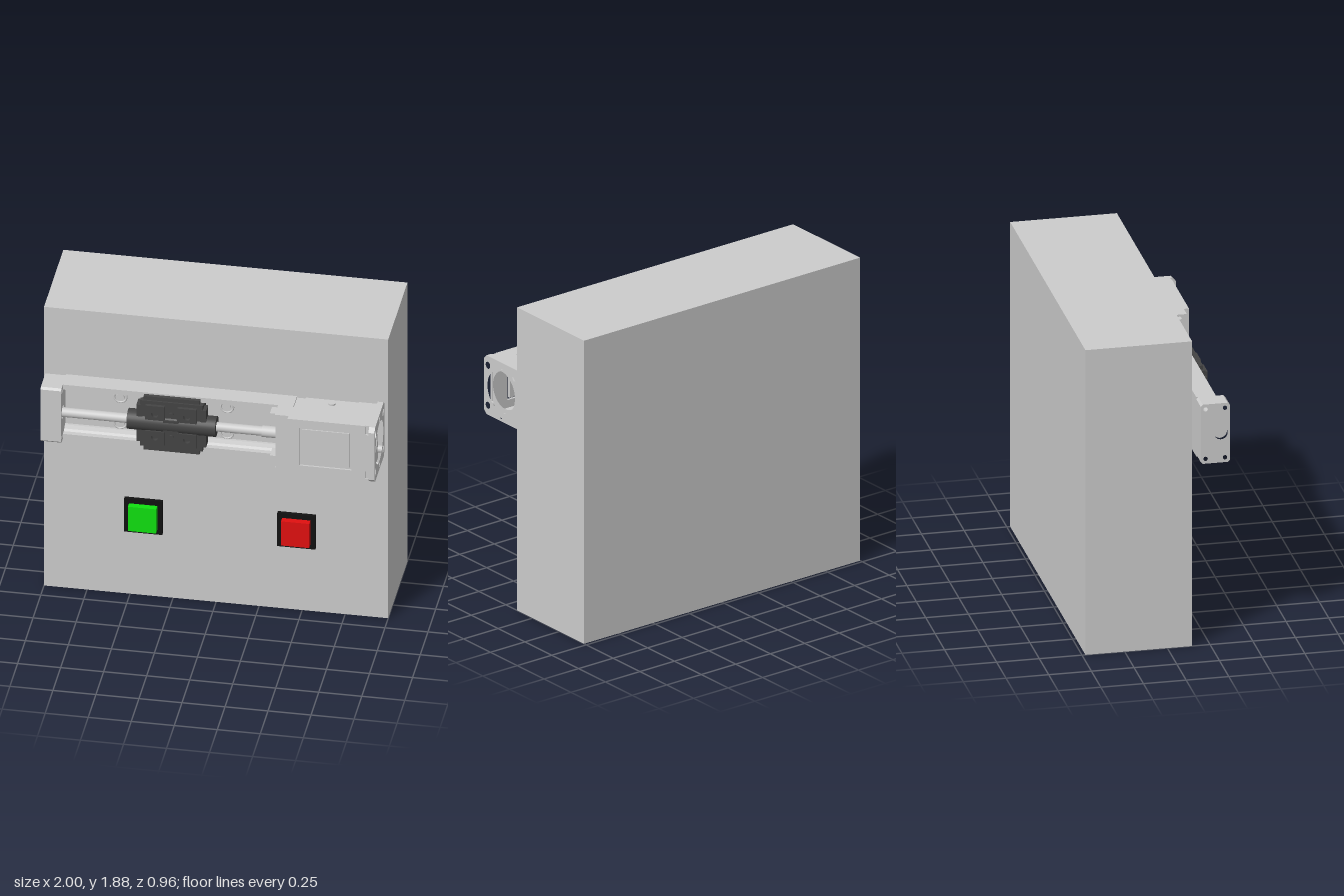
import * as THREE from 'three';

const grey = new THREE.MeshStandardMaterial({ color: 0xcccccc });
const dark = new THREE.MeshStandardMaterial({ color: 0x444444 });
const black = new THREE.MeshStandardMaterial({ color: 0x111111 });
const green = new THREE.MeshStandardMaterial({ color: 0x10e010 });
const red = new THREE.MeshStandardMaterial({ color: 0xe01010 });

const AXIS_Y = 1.293, AXIS_Z = 0.318; // lead screw axis
const LOW = 1.11, HIGH = 1.475;       // actuator bottom and top

function add(parent, name, geometry, material = grey) {
  const mesh = new THREE.Mesh(geometry, material);
  mesh.name = name;
  parent.add(mesh);
  return mesh;
}

// Box from its limits on each axis
function box(parent, name, [x0, x1], [y0, y1], [z0, z1], material) {
  const g = new THREE.BoxGeometry(x1 - x0, y1 - y0, z1 - z0);
  g.translate((x0 + x1) / 2, (y0 + y1) / 2, (z0 + z1) / 2);
  return add(parent, name, g, material);
}

function polygon(points) {
  return new THREE.Shape(points.map(p => new THREE.Vector2(...p)));
}

function extrude(shape, depth) {
  return new THREE.ExtrudeGeometry(shape, { depth, bevelEnabled: false, curveSegments: 20 });
}

// Section of [z, y] points swept along x; holes are [z, y, radius]
function alongX(points, x0, x1, holes = []) {
  const shape = polygon(points.map(([z, y]) => [-z, y]));
  for (const [z, y, r] of holes) shape.holes.push(new THREE.Path().absarc(-z, y, r, 0, Math.PI * 2, true));
  return extrude(shape, x1 - x0).rotateY(Math.PI / 2).translate(x0, 0, 0);
}

// Plate of [x, y] points facing the front
function plate(shape, z0, z1) {
  return extrude(shape, z1 - z0).translate(0, 0, z0);
}

function chamfered(z0, z1, y0, y1, c) {
  return [[z0 + c, y0], [z1 - c, y0], [z1, y0 + c], [z1, y1 - c], [z1 - c, y1], [z0 + c, y1], [z0, y1 - c], [z0, y0 + c]];
}

function rodX(parent, name, x0, x1, r, material = grey, sides = 32) {
  const g = new THREE.CylinderGeometry(r, r, x1 - x0, sides).rotateZ(Math.PI / 2);
  return add(parent, name, g.translate((x0 + x1) / 2, AXIS_Y, AXIS_Z), material);
}

function rodZ(parent, name, x, y, z0, z1, r, material = grey) {
  const g = new THREE.CylinderGeometry(r, r, z1 - z0, 24).rotateX(Math.PI / 2);
  return add(parent, name, g.translate(x, y, (z0 + z1) / 2), material);
}

function rectPath(x0, x1, y0, y1) {
  return new THREE.Path([[x0, y0], [x0, y1], [x1, y1], [x1, y0]].map(p => new THREE.Vector2(...p)));
}

function buildRail() {
  const g = new THREE.Group();
  g.name = 'rail';
  // Half of the stepped channel section, mirrored about the screw axis
  const half = [[0.2, HIGH], [0.315, HIGH], [0.315, 1.442], [0.285, 1.442], [0.275, 1.43],
    [0.262, 1.442], [0.25, 1.418], [0.235, 1.418], [0.235, 1.335], [0.222, 1.335]];
  const lower = half.map(([z, y]) => [z, LOW + HIGH - y]).reverse();
  add(g, 'channel', alongX([...half, ...lower], -0.86, 0.4));
  // Counterbored mounting screws with studs to the cabinet
  for (const x of [-0.54, 0.08]) for (const y of [1.205, 1.38]) {
    add(g, 'screwSeat', new THREE.TorusGeometry(0.036, 0.006, 8, 28).translate(x, y, 0.235));
    rodZ(g, 'screwHead', x, y, 0.23, 0.246, 0.024);
    rodZ(g, 'mountingStud', x, y, 0.14, 0.21, 0.018);
    if (x > 0) rodZ(g, 'washer', x, y, 0.172, 0.2, 0.044);
  }
  rodX(g, 'leadScrew', -0.87, 0.41, 0.028);
  rodX(g, 'screwCollar', 0.3, 0.4, 0.034);
  for (const [y0, y1] of [[1.125, 1.175], [1.41, 1.46]]) box(g, 'endStop', [0.355, 0.4], [y0, y1], [0.3, 0.385]);
  return g;
}

function buildEndBlock() {
  const g = new THREE.Group();
  g.name = 'endBlock';
  const holes = [[AXIS_Z, AXIS_Y, 0.04]];
  for (const z of [0.228, 0.342]) for (const y of [1.14, 1.445]) holes.push([z, y, 0.013]);
  add(g, 'bearingBlock', alongX(chamfered(0.2, 0.37, LOW, HIGH, 0.012), -0.98, -0.86, holes));
  rodX(g, 'bearing', -0.955, -0.87, 0.041);
  return g;
}

function buildCarriage() {
  const g = new THREE.Group();
  g.name = 'carriage';
  const [cx, cy] = [-0.222, AXIS_Y];
  box(g, 'lowerBody', [-0.4, -0.04], [1.155, 1.43], [0.25, 0.33], dark);
  box(g, 'saddle', [-0.385, -0.06], [LOW, 1.47], [0.322, 0.345], dark);
  box(g, 'topBlock', [-0.405, -0.04], [1.14, 1.446], [0.325, 0.355], dark);
  rodX(g, 'ballNut', -0.48, 0.035, 0.06, dark);
  for (const s of [-1, 1]) {
    box(g, 'endCap', s < 0 ? [-0.425, -0.39] : [-0.055, -0.02], [1.17, 1.415], [0.29, 0.358], dark);
    // Drilled mounting pads either side of the cross groove
    for (const t of [-1, 1]) {
      const x = cx + s * 0.093, y = cy + t * 0.085;
      const pad = polygon([[x - 0.056, y - 0.047], [x + 0.056, y - 0.047], [x + 0.056, y + 0.047], [x - 0.056, y + 0.047]]);
      pad.holes.push(new THREE.Path().absarc(x, y - t * 0.008, 0.02, 0, Math.PI * 2, true));
      add(g, 'mountingPad', plate(pad, 0.35, 0.375), dark);
    }
    rodZ(g, 'capScrew', cx, cy + s * 0.075, 0.35, 0.364, 0.013, dark);
  }
  box(g, 'centrePad', [cx - 0.045, cx + 0.045], [cy - 0.04, cy + 0.04], [0.35, 0.372], dark);
  return g;
}

function buildMotorMount() {
  const g = new THREE.Group();
  g.name = 'motorMount';
  box(g, 'screwSupport', [0.395, 0.53], [1.12, 1.465], [0.2, 0.42]);
  // Housing bored out for the motor coupling
  const body = [[0.19, 1.12], [0.439, 1.12], [0.439, 1.465], [0.19, 1.465]];
  add(g, 'housing', alongX(body, 0.53, 0.95, [[AXIS_Z, AXIS_Y, 0.115]]));

  // Side plates with a rounded pocket open to the rear
  const side = new THREE.Shape();
  side.moveTo(0.39, 0.2).lineTo(0.48, 0.2).lineTo(0.48, 0.31);
  side.quadraticCurveTo(0.48, 0.36, 0.53, 0.36).lineTo(0.84, 0.36).lineTo(0.84, 0.2);
  side.lineTo(0.95, 0.2).lineTo(0.95, 0.445).lineTo(0.47, 0.445).lineTo(0.47, 0.42).lineTo(0.39, 0.42);
  for (const y of [HIGH, 1.12]) add(g, 'sidePlate', extrude(side, 0.01).rotateX(Math.PI / 2).translate(0, y, 0));

  // Front cover with a window and notches for the flange bolts
  const cover = polygon([[0.47, LOW], [0.92, LOW], [0.92, 1.17], [0.955, 1.17], [0.955, 1.415],
    [0.92, 1.415], [0.92, HIGH], [0.47, HIGH]]);
  cover.holes.push(rectPath(0.54, 0.842, 1.168, 1.422));
  add(g, 'frontCover', plate(cover, 0.436, 0.45));
  box(g, 'coverPanel', [0.552, 0.83], [1.18, 1.41], [0.43, 0.446]);

  // Motor flange
  const holes = [[AXIS_Z, AXIS_Y, 0.128]];
  for (const s of [-1, 1]) {
    holes.push([AXIS_Z, AXIS_Y + s * 0.153, 0.014]);
    for (const t of [-1, 1]) holes.push([AXIS_Z + s * 0.124, AXIS_Y + t * 0.124, 0.021]);
  }
  add(g, 'motorFlange', alongX(chamfered(0.152, 0.48, LOW, HIGH, 0.025), 0.945, 0.98, holes));

  // Coupling inside the bore
  rodX(g, 'coupling', 0.52, 0.6, 0.075, grey, 8);
  rodX(g, 'driveShaft', 0.59, 0.66, 0.018);

  // Small set screws on the upper and lower faces
  for (const y of [LOW + 0.006, HIGH - 0.006]) for (const [x, z, r] of [[0.43, 0.26, 0.013], [0.69, 0.235, 0.02]]) {
    add(g, 'setScrew', new THREE.CylinderGeometry(r, r, 0.012, 20).translate(x, y, z));
  }
  return g;
}

function buildButton(name, x, material) {
  const g = new THREE.Group();
  g.name = name;
  box(g, 'bezel', [x - 0.111, x + 0.111], [0.43, 0.653], [0.14, 0.167], black);
  box(g, 'cap', [x - 0.082, x + 0.082], [0.46, 0.623], [0.15, 0.205], material);
  return g;
}

export function createModel() {
  const model = new THREE.Group();
  model.name = 'controlCabinet';
  box(model, 'cabinet', [-1, 1], [0, 1.88], [-0.48, 0.145]);

  const actuator = new THREE.Group();
  actuator.name = 'linearActuator';
  actuator.add(buildRail(), buildEndBlock(), buildCarriage(), buildMotorMount());

  model.add(actuator, buildButton('greenButton', -0.42, green), buildButton('redButton', 0.47, red));
  return model;
}
